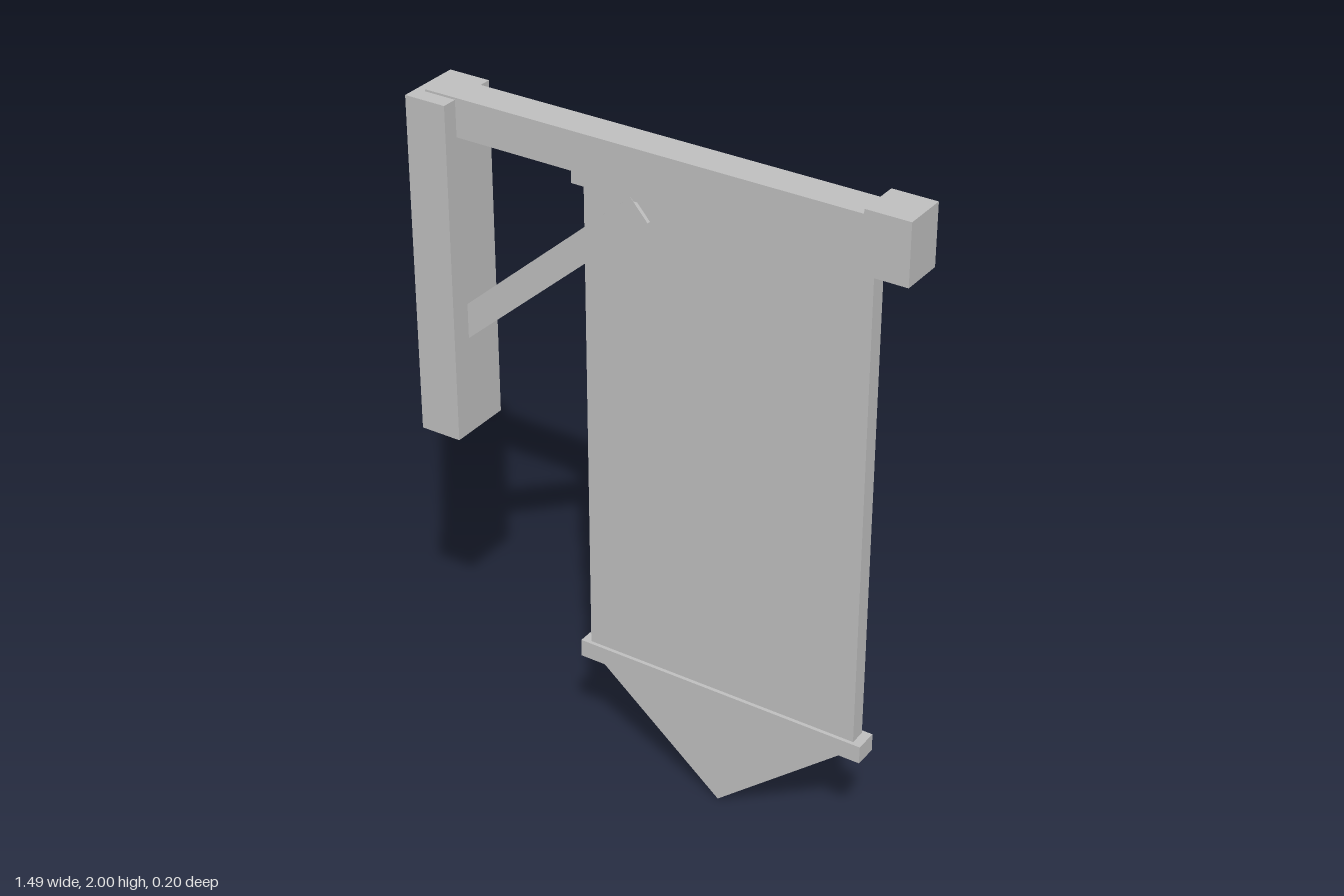
import * as THREE from 'three';

export function createModel() {
  const model = new THREE.Group();
  const grey = new THREE.MeshStandardMaterial({ color: 0xc0c0c0 });
  grey.name = 'plain grey';

  function add(name, geometry) {
    const mesh = new THREE.Mesh(geometry, grey);
    mesh.name = name;
    model.add(mesh);
    return mesh;
  }

  // Box given by its x and y limits and its half depth
  function block(name, x0, x1, y0, y1, halfDepth) {
    const mesh = add(name, new THREE.BoxGeometry(x1 - x0, y1 - y0, halfDepth * 2));
    mesh.position.set((x0 + x1) / 2, (y0 + y1) / 2, 0);
    return mesh;
  }

  // Wooden bracket
  block('wallPost', -0.745, -0.618, 0.96, 1.972, 0.098);
  block('beam', -0.715, 0.63, 1.865, 1.978, 0.051);
  block('beamEndCap', 0.613, 0.743, 1.823, 2.0, 0.066);

  // Diagonal brace from the post up to the top batten
  const low = new THREE.Vector2(-0.66, 1.272);
  const high = new THREE.Vector2(-0.055, 1.8);
  const brace = add('brace', new THREE.BoxGeometry(low.distanceTo(high), 0.08, 0.07));
  brace.position.set((low.x + high.x) / 2, (low.y + high.y) / 2, 0);
  brace.rotation.z = Math.atan2(high.y - low.y, high.x - low.x);

  // Hanging banner between two battens
  block('topBatten', -0.265, 0.66, 1.82, 1.866, 0.034);
  block('bannerCloth', -0.233, 0.625, 0.35, 1.83, 0.024);
  block('bottomBatten', -0.26, 0.652, 0.328, 0.382, 0.035);

  // Pointed tail below the bottom batten
  const tail = new THREE.Shape([
    new THREE.Vector2(-0.208, 0.335),
    new THREE.Vector2(0.197, 0),
    new THREE.Vector2(0.602, 0.335),
  ]);
  const tailGeometry = new THREE.ExtrudeGeometry(tail, { depth: 0.048, bevelEnabled: false });
  tailGeometry.translate(0, 0, -0.024);
  add('bannerTail', tailGeometry);

  return model;
}
